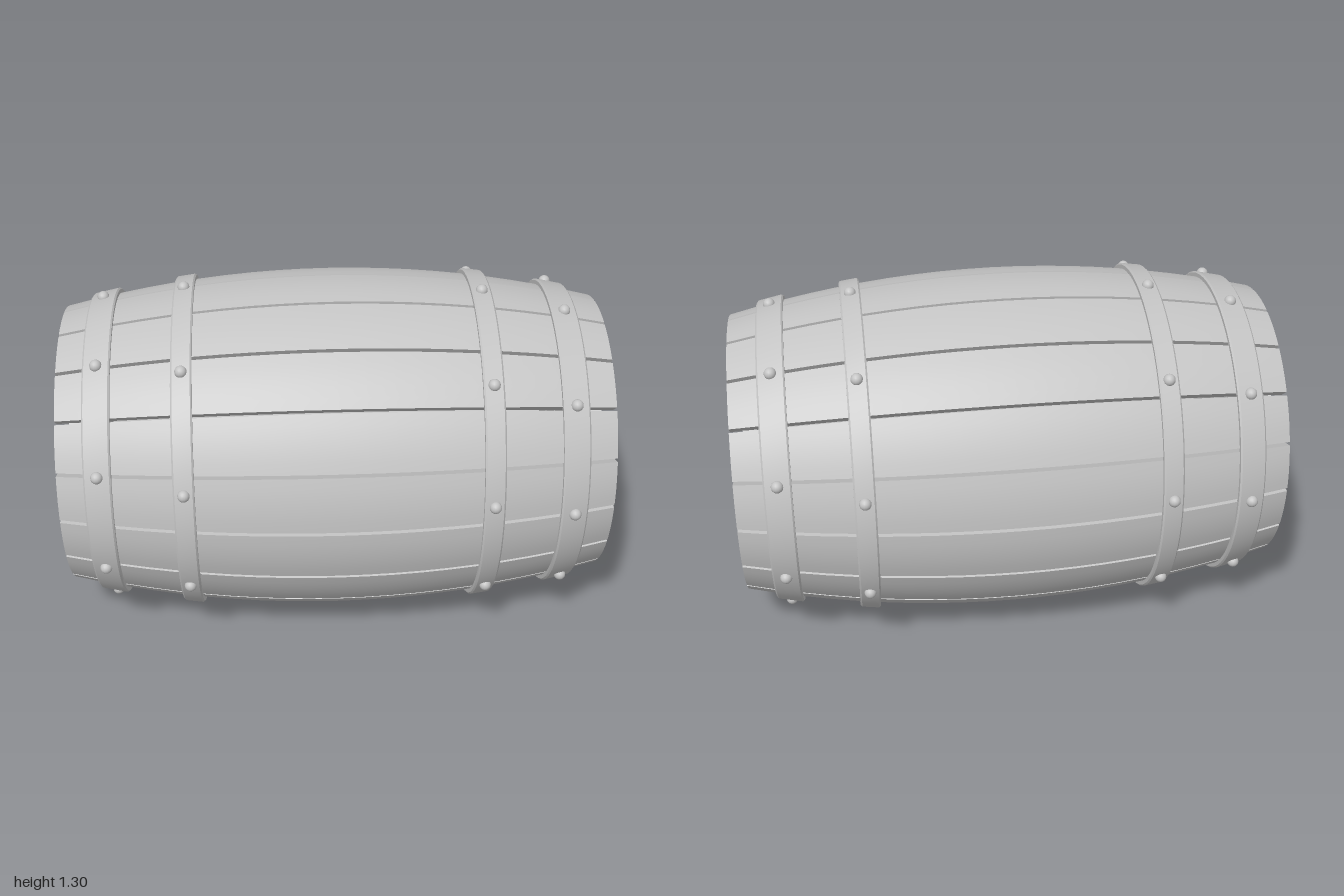
import * as THREE from 'three';
import { toCreasedNormals } from 'three/addons/utils/BufferGeometryUtils.js';

const CENTRE_Y = 0.655;
const STAVES = 18;
const THICK = 0.065;
const GAP = 0.013;
const rad = THREE.MathUtils.degToRad;

// Outer radius of the bulging body at distance x along its axis
const bodyRadius = (x) => 0.648 - 0.123 * x * x;

// One curved plank: a box bent around the axis and along the bulge
function staveGeometry() {
  const geo = new THREE.BoxGeometry(2, 1, 1, 20, 1, 5);
  const p = geo.attributes.position;
  for (let i = 0; i < p.count; i++) {
    const x = p.getX(i);
    const r = bodyRadius(x) + (p.getY(i) - 0.5) * THICK;
    const a = p.getZ(i) * ((Math.PI * 2) / STAVES - GAP / r);
    p.setXYZ(i, x, r * Math.cos(a), r * Math.sin(a));
  }
  geo.computeVertexNormals();
  return geo;
}

// Bevelled band that follows the slope of the body
function hoopGeometry(x, width) {
  const h = width / 2, b = 0.006, t = 0.021;
  const at = (dx, lift) => new THREE.Vector2(bodyRadius(x + dx) + lift, x + dx);
  const profile = [
    at(-h, -0.004), at(-h, t - b), at(-h + b, t), at(h - b, t),
    at(h, t - b), at(h, -0.004), at(-h, -0.004),
  ];
  const geo = new THREE.LatheGeometry(profile, 72);
  geo.rotateZ(-Math.PI / 2);
  return toCreasedNormals(geo, rad(30));
}

// Straight board cut to the round outline of the lid
function boardGeometry(z0, z1, radius, depth) {
  const upper = [], lower = [];
  for (let i = 0; i <= 10; i++) {
    const z = z0 + ((z1 - z0) * i) / 10;
    const y = Math.sqrt(radius * radius - z * z);
    upper.unshift(new THREE.Vector2(z, y));
    lower.push(new THREE.Vector2(z, -y));
  }
  const geo = new THREE.ExtrudeGeometry(new THREE.Shape([...lower, ...upper]), {
    depth, bevelEnabled: false,
  });
  geo.translate(0, 0, -depth / 2);
  geo.rotateY(Math.PI / 2);
  return geo;
}

export function createModel() {
  const grey = new THREE.MeshStandardMaterial({ color: 0xc4c4c4 });
  grey.name = 'grey';

  const barrel = new THREE.Group();
  barrel.name = 'barrel';
  const add = (name, geo, parent) => {
    const mesh = new THREE.Mesh(geo, grey);
    mesh.name = name;
    parent.add(mesh);
    return mesh;
  };
  const group = (name) => {
    const g = new THREE.Group();
    g.name = name;
    g.position.y = CENTRE_Y;
    barrel.add(g);
    return g;
  };

  // Ring of staves with open slits between them
  const staves = group('staves');
  const stave = staveGeometry();
  for (let i = 0; i < STAVES; i++) {
    add('stave', stave, staves).rotation.x = (i * Math.PI * 2) / STAVES;
  }

  // Recessed lids made of six boards each
  const cuts = [-0.47, -0.305, -0.153, 0, 0.153, 0.305, 0.47];
  for (const side of [-1, 1]) {
    const lid = group(side > 0 ? 'leftLid' : 'rightLid');
    for (let i = 0; i < 6; i++) {
      const z0 = cuts[i] + (i > 0 ? GAP / 2 : 0);
      const z1 = cuts[i + 1] - (i < 5 ? GAP / 2 : 0);
      add('lidBoard', boardGeometry(z0, z1, 0.475, 0.05), lid).position.x = side * 0.93;
    }
  }

  // Hoops, each with nine rivets starting at its own angle
  const hoops = [
    { x: -0.85, width: 0.1, start: 20 },
    { x: -0.547, width: 0.076, start: 14.5 },
    { x: 0.547, width: 0.076, start: 7.5 },
    { x: 0.845, width: 0.1, start: 1 },
  ];
  const rivet = new THREE.SphereGeometry(0.022, 14, 10);
  for (const { x, width, start } of hoops) {
    const set = group('hoopWithRivets');
    add('hoop', hoopGeometry(x, width), set);
    const r = bodyRadius(x) + 0.022;
    for (let i = 0; i < 9; i++) {
      const a = rad(start + i * 40);
      add('rivet', rivet, set).position.set(x, r * Math.sin(a), r * Math.cos(a));
    }
  }
  return barrel;
}
